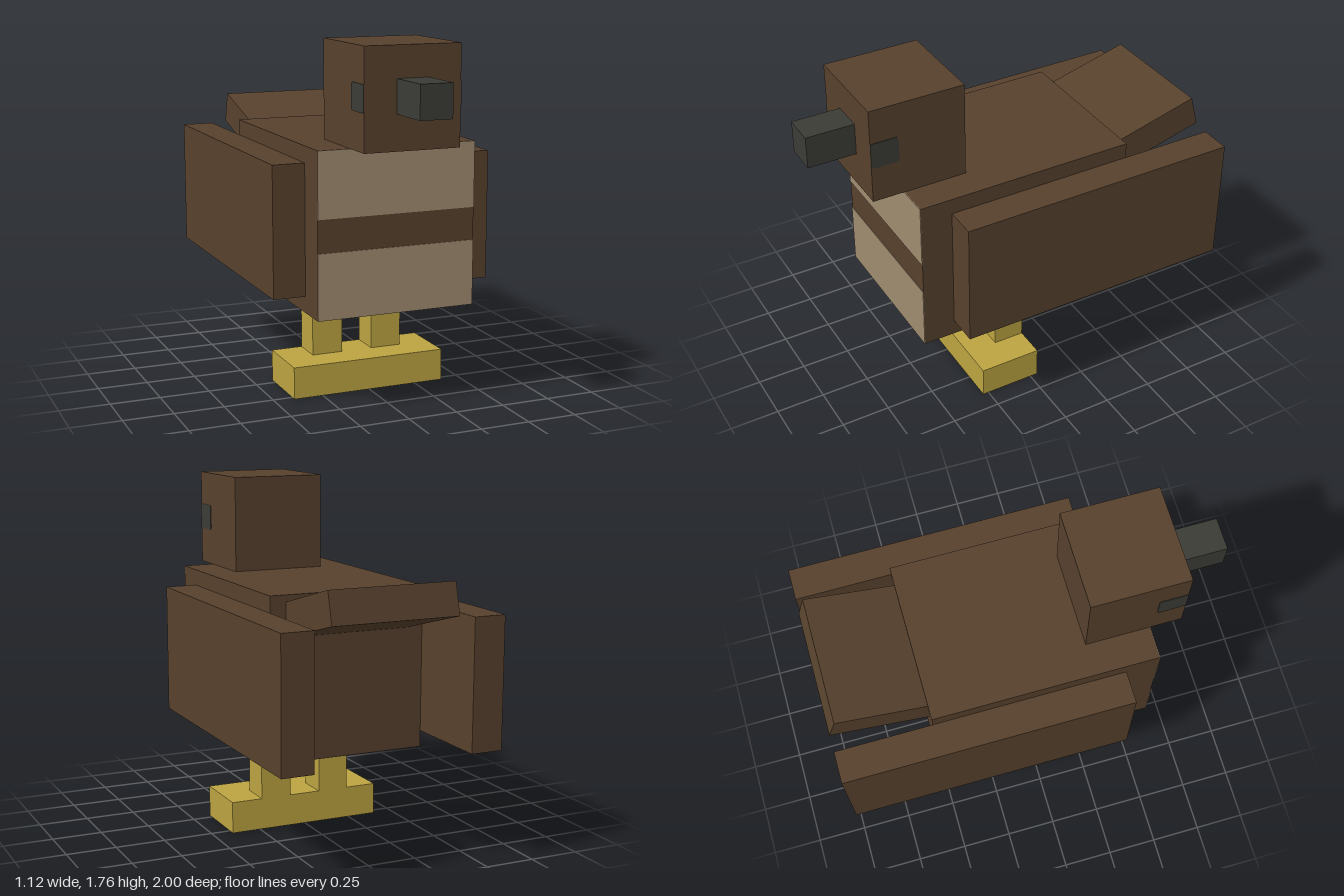
import * as THREE from 'three';

const mat = (name, color, side = THREE.FrontSide) => {
  const m = new THREE.MeshStandardMaterial({ color, side });
  m.name = name;
  return m;
};

export function createModel() {
  const brown = mat('brown feathers', 0x57412d);
  const tan = mat('tan chest', 0xa08c70);
  const yellow = mat('yellow legs', 0xbca441);
  const dark = mat('dark beak', 0x3b3b36);

  const model = new THREE.Group();
  model.name = 'bird';

  const add = (name, geometry, material) => {
    const mesh = new THREE.Mesh(geometry, material);
    mesh.name = name;
    model.add(mesh);
    return mesh;
  };

  // Box given by its lowest and highest corners
  const box = (name, material, [x0, y0, z0], [x1, y1, z1]) => {
    const mesh = add(name, new THREE.BoxGeometry(x1 - x0, y1 - y0, z1 - z0), material);
    mesh.position.set((x0 + x1) / 2, (y0 + y1) / 2, (z0 + z1) / 2);
    return mesh;
  };

  // Thin plate with softened corners, centred on its own origin
  const softPlate = (w, h, r, depth) => {
    const x = w / 2, y = h / 2;
    const s = new THREE.Shape();
    s.moveTo(-x + r, -y);
    s.lineTo(x - r, -y).quadraticCurveTo(x, -y, x, -y + r);
    s.lineTo(x, y - r).quadraticCurveTo(x, y, x - r, y);
    s.lineTo(-x + r, y).quadraticCurveTo(-x, y, -x, y - r);
    s.lineTo(-x, -y + r).quadraticCurveTo(-x, -y, -x + r, -y);
    return new THREE.ExtrudeGeometry(s, { depth, bevelEnabled: false, curveSegments: 4 });
  };

  // Body, head and beak
  box('body', brown, [-0.4, 0.48, -0.52], [0.4, 1.28, 0.6]);
  box('head', brown, [-0.24, 1.28, 0.28], [0.24, 1.76, 0.76]);
  box('beak', dark, [-0.08, 1.45, 0.76], [0.08, 1.61, 1.0]);

  // Pale chest, parted by a brown band
  box('lowerChest', tan, [-0.4, 0.48, 0.6], [0.4, 0.8, 0.603]);
  box('upperChest', tan, [-0.4, 0.96, 0.6], [0.4, 1.28, 0.603]);

  // Pale patches under the belly
  for (const [name, length, z] of [['bellyPatch', 0.62, -0.03], ['frontBellyPatch', 0.12, 0.41]]) {
    const patch = add(name, softPlate(0.46, length, 0.06, 0.004), tan);
    patch.rotation.x = Math.PI / 2;
    patch.position.set(0, 0.48, z);
  }

  // Raised tail, with its front end sunk into the body
  const tail = add('tail', new THREE.BoxGeometry(0.64, 0.16, 0.56), brown);
  const tilt = Math.PI / 12;
  tail.rotation.x = tilt;
  tail.position.set(
    0,
    1.287 + 0.28 * -Math.sin(tilt),
    -0.98 + 0.28 * Math.cos(tilt)
  );

  // Wings, eyes and legs on both sides
  for (const [side, s] of [['left', 1], ['right', -1]]) {
    const wing = add(side + 'Wing', new THREE.BoxGeometry(0.16, 0.64, 1.44), brown);
    wing.position.set(s * 0.48, 0.88, -0.28);

    const eye = add(side + 'Eye', softPlate(0.14, 0.13, 0.015, 0.003), dark);
    eye.rotation.y = s * Math.PI / 2;
    eye.position.set(s * 0.24, 1.525, 0.69);

    const leg = add(side + 'Leg', new THREE.BoxGeometry(0.16, 0.32, 0.16), yellow);
    leg.position.set(s * 0.16, 0.32, 0.04);
  }

  // Joined feet
  box('feet', yellow, [-0.4, 0, -0.04], [0.4, 0.16, 0.28]);

  return model;
}
